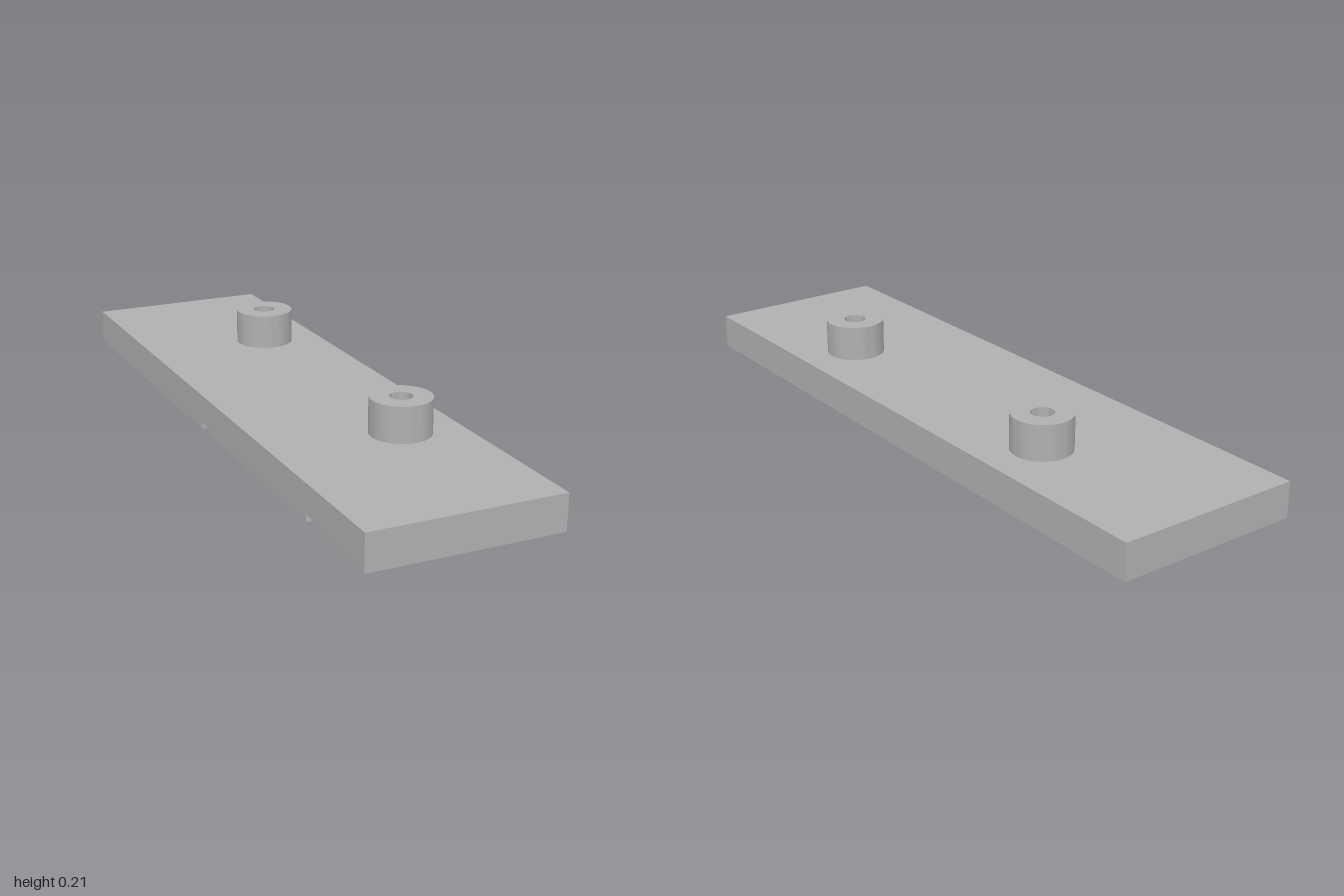
import * as THREE from 'three';
import { toCreasedNormals } from 'three/addons/utils/BufferGeometryUtils.js';

const HALF_W = 0.28, HALF_L = 1, THICK = 0.105, GROOVE_DEPTH = 0.02;
const BOSS_X = 0.101, BOSS_Z = 0.465, BOSS_TOP = 0.21, BOSS_R = 0.088, HOLE_R = 0.033;
const ARC_X = -0.25, ARC_Z = 0.345, ARC_OUT = 0.39, ARC_IN = 0.337;

// Extrudes a plan outline (x, z) between two heights
function slab(shape, y0, y1) {
  const g = new THREE.ExtrudeGeometry(shape, { depth: y1 - y0, bevelEnabled: false, curveSegments: 64 });
  g.rotateX(Math.PI / 2).translate(0, y1, 0);
  return toCreasedNormals(g, 0.5);
}

// Angle at which an arc of radius r meets the long -x edge
const edgeAngle = (r) => Math.acos((-HALF_W - ARC_X) / r);

export function createModel() {
  const model = new THREE.Group();
  const grey = new THREE.MeshStandardMaterial({ color: 0xb0b0b0 });
  grey.name = 'plain grey';

  const add = (name, geometry) => {
    const mesh = new THREE.Mesh(geometry, grey);
    mesh.name = name;
    model.add(mesh);
    return mesh;
  };

  // Solid upper part of the plate, whose underside is the groove floor
  const upper = new THREE.BoxGeometry(2 * HALF_W, THICK - GROOVE_DEPTH, 2 * HALF_L);
  add('plate', upper.translate(0, (THICK + GROOVE_DEPTH) / 2, 0));

  // Underside outside the curved groove
  const a = edgeAngle(ARC_OUT);
  const outer = new THREE.Shape();
  outer.moveTo(-HALF_W, -HALF_L);
  outer.lineTo(HALF_W, -HALF_L);
  outer.lineTo(HALF_W, HALF_L);
  outer.lineTo(-HALF_W, HALF_L);
  outer.absarc(ARC_X, ARC_Z, ARC_OUT, a, -a, true);
  outer.closePath();
  add('undersideOutsideGroove', slab(outer, 0, GROOVE_DEPTH));

  // Underside enclosed by the groove
  const b = edgeAngle(ARC_IN);
  const inner = new THREE.Shape();
  inner.absarc(ARC_X, ARC_Z, ARC_IN, -b, b, false);
  inner.closePath();
  add('undersideInsideGroove', slab(inner, 0, GROOVE_DEPTH));

  // Two hollow round bosses on top
  const profile = [
    [BOSS_R, THICK], [BOSS_R, BOSS_TOP], [HOLE_R, BOSS_TOP], [HOLE_R, THICK],
  ].map(([r, y]) => new THREE.Vector2(r, y));
  const boss = toCreasedNormals(new THREE.LatheGeometry(profile, 64), 0.5);
  for (const [name, z] of [['frontBoss', BOSS_Z], ['backBoss', -BOSS_Z]]) {
    add(name, boss).position.set(BOSS_X, 0, z);
  }

  return model;
}
